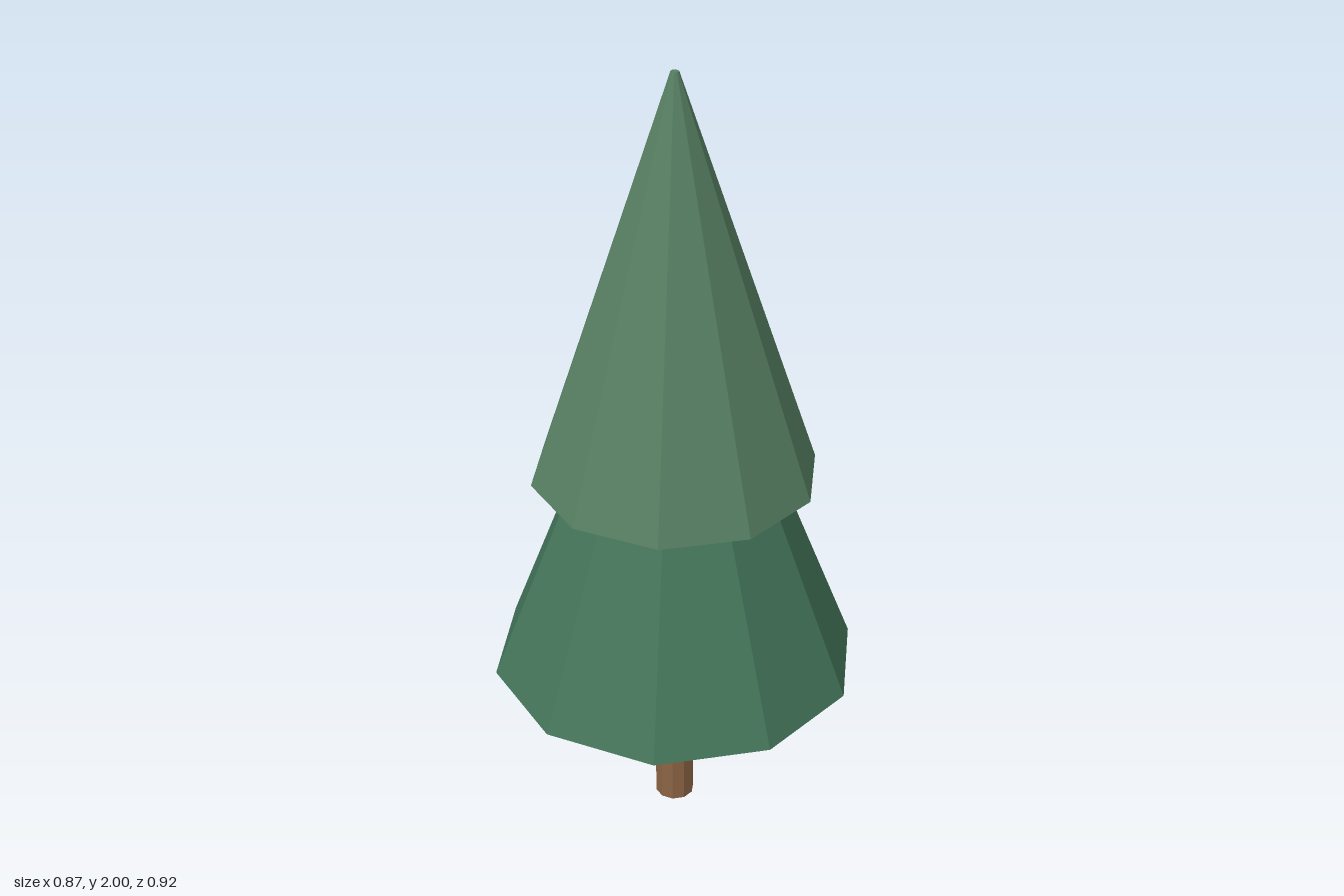
import * as THREE from 'three';

const SIDES = 10;

// Faceted, capped tier with one vertex pointing to +z
function tier(name, topRadius, bottomRadius, bottomY, topY, color) {
  const height = topY - bottomY;
  const geometry = new THREE.CylinderGeometry(topRadius, bottomRadius, height, SIDES);
  const material = new THREE.MeshStandardMaterial({ color, flatShading: true });
  const mesh = new THREE.Mesh(geometry, material);
  mesh.name = name;
  mesh.position.y = bottomY + height / 2;
  return mesh;
}

export function createModel() {
  const tree = new THREE.Group();
  tree.name = 'pineTree';
  tree.add(
    tier('trunk', 0.05, 0.05, 0, 0.46, 0x8a6444),
    tier('lowerFoliage', 0.01, 0.459, 0.45, 1.6, 0x44755a),
    tier('upperFoliage', 0.01, 0.351, 0.99, 2, 0x567f62),
  );
  return tree;
}
